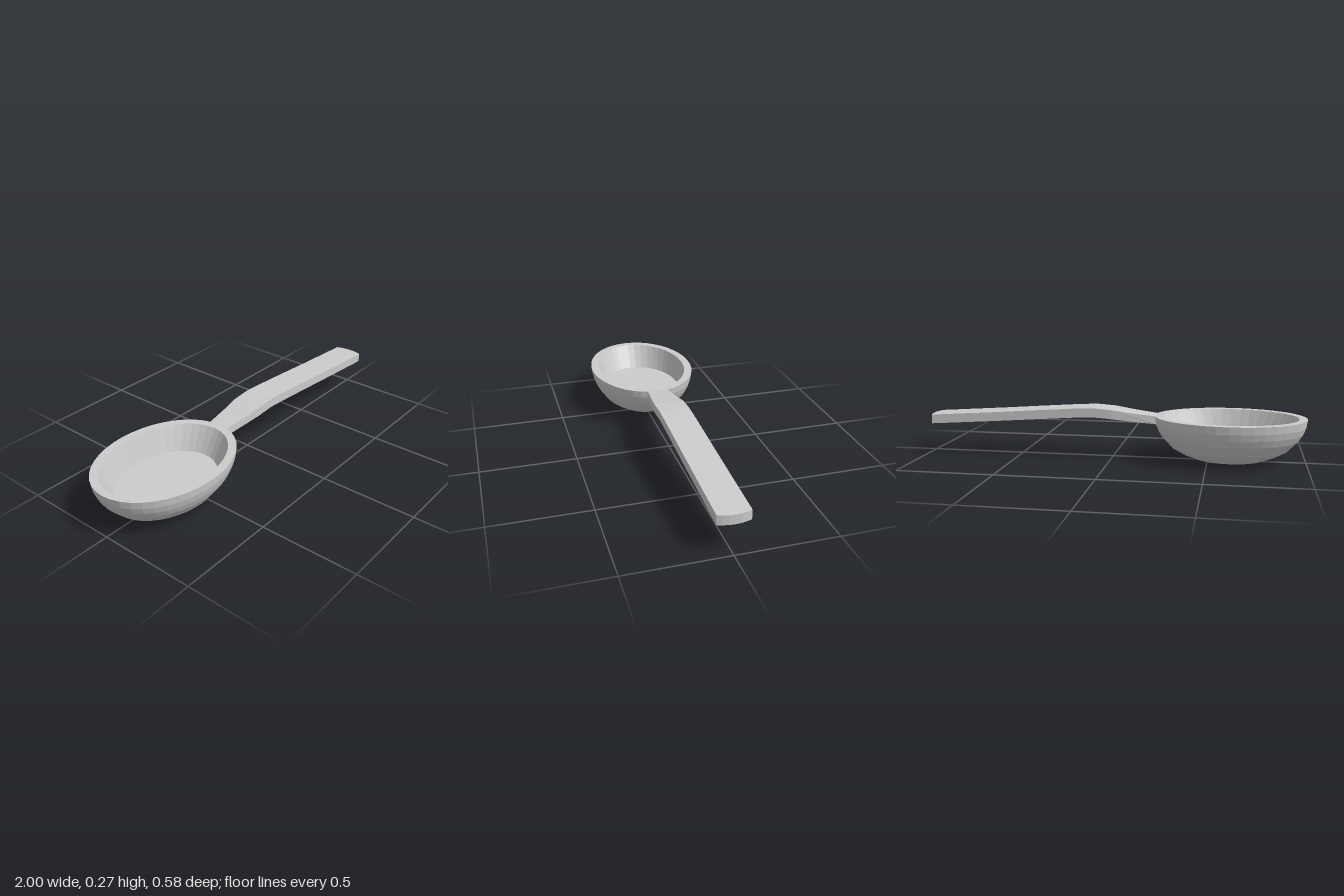
import * as THREE from 'three';

const CENTRE_X = -0.61;
const RADIUS_X = 0.39;
const RADIUS_Z = 0.292;

const material = new THREE.MeshStandardMaterial({ color: 0xcccccc, flatShading: true });

function addMesh(group, name, geometry) {
  const mesh = new THREE.Mesh(geometry, material);
  mesh.name = name;
  group.add(mesh);
}

// Oval bowl: outer shell, flat rim, sloping inner wall and flat floor.
// Each point holds [radius along x, radius along z, height], from the base up and back inside.
function bowlGeometry() {
  const shell = [[0, 0], [0.28, 0], [0.45, 0.01], [0.62, 0.035], [0.76, 0.065],
    [0.895, 0.12], [0.95, 0.155], [0.985, 0.19], [1, 0.229]];
  const rings = shell.map(([r, y]) => [r * RADIUS_X, r * RADIUS_Z, y]);
  rings.push([0.349, 0.249, 0.229], [0.278, 0.216, 0.103], [0, 0, 0.103]);

  const sides = 40;
  const positions = [];
  const index = [];
  rings.forEach(([rx, rz, y], i) => {
    for (let j = 0; j < sides; j++) {
      const a = (j / sides) * Math.PI * 2;
      positions.push(CENTRE_X + rx * Math.cos(a), y, rz * Math.sin(a));
      if (i === 0) continue;
      const next = (j + 1) % sides;
      const low = (i - 1) * sides;
      const high = i * sides;
      if (i > 1) index.push(low + j, high + next, low + next);
      if (i < rings.length - 1) index.push(low + j, high + j, high + next);
      else index.push(low + j, high + j, low + next);
      if (i === 1) index.push(low + j, high + j, high + next);
    }
  });
  const geometry = new THREE.BufferGeometry();
  geometry.setAttribute('position', new THREE.Float32BufferAttribute(positions, 3));
  geometry.setIndex(index);
  const flat = geometry.toNonIndexed();
  flat.computeVertexNormals();
  return flat;
}

// Arched handle: side profile extruded across, narrowed at the neck, end slightly bowed.
function handleGeometry() {
  const top = [[-0.245, 0.226], [-0.22, 0.231], [-0.1, 0.245], [0, 0.26], [0.1, 0.267],
    [0.2, 0.262], [0.4, 0.248], [0.6, 0.233], [0.985, 0.207]];
  const thickness = (x) => (x < 0 ? 0.041 + 0.02 * (x + 0.245) : 0.048);
  const bottom = top.map(([x, y]) => [x, y - thickness(x)]).reverse();
  const shape = new THREE.Shape([...top, ...bottom].map(([x, y]) => new THREE.Vector2(x, y)));
  const geometry = new THREE.ExtrudeGeometry(shape, { depth: 2, steps: 6, bevelEnabled: false });
  geometry.translate(0, 0, -1);

  const p = geometry.attributes.position;
  for (let i = 0; i < p.count; i++) {
    const x = p.getX(i);
    const side = p.getZ(i);
    const neck = THREE.MathUtils.clamp((x + 0.22) / 0.22, 0, 1);
    p.setZ(i, side * THREE.MathUtils.lerp(0.056, 0.079, neck));
    if (x > 0.9) p.setX(i, x + 0.015 * (1 - side * side));
  }
  geometry.computeVertexNormals();
  return geometry;
}

export function createModel() {
  const group = new THREE.Group();
  group.name = 'spoon';
  addMesh(group, 'bowl', bowlGeometry());
  addMesh(group, 'handle', handleGeometry());
  return group;
}
